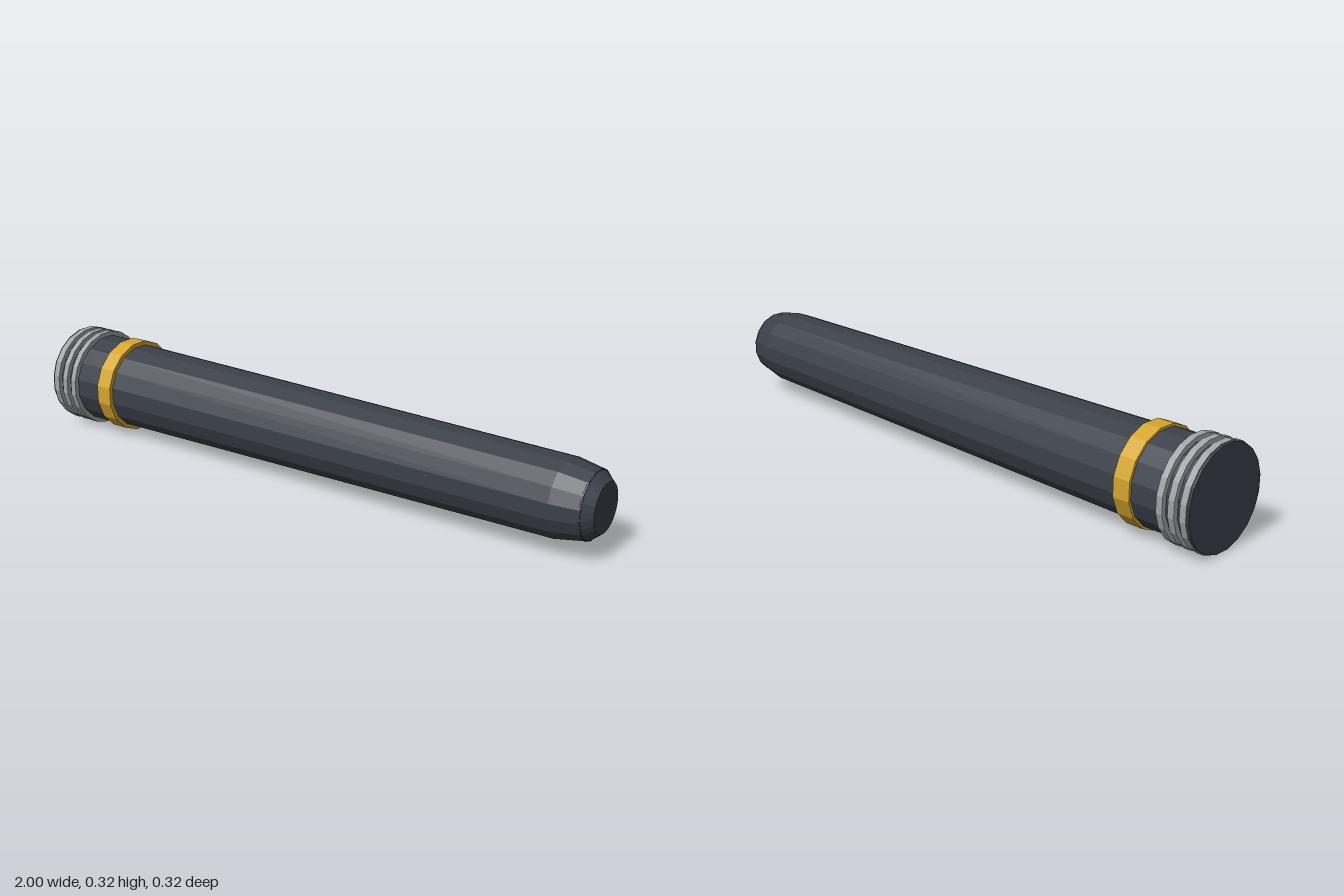
import * as THREE from 'three';

const mat = (name, color) => {
  const m = new THREE.MeshStandardMaterial({ color, flatShading: true });
  m.name = name;
  return m;
};

export function createModel() {
  const charcoal = mat('charcoal', 0x3b4049);
  const gold = mat('gold', 0xd4a62f);
  const silver = mat('silver', 0xa0a3a8);
  const group = new THREE.Group();
  group.name = 'taperedTube';

  // Faceted drum lying along x, with a flat facet on top
  const drum = (name, x0, x1, r0, r1, sides, material, open = false) => {
    const geo = new THREE.CylinderGeometry(r1, r0, x1 - x0, sides, 1, open, Math.PI / sides);
    geo.rotateZ(-Math.PI / 2);
    const mesh = new THREE.Mesh(geo, material);
    mesh.name = name;
    mesh.position.set((x0 + x1) / 2, 0.161, 0);
    group.add(mesh);
  };

  // Main tube, narrowing towards +x
  drum('tube', -0.77, 0.88, 0.142, 0.122, 16, charcoal, true);
  drum('shoulder', 0.88, 0.97, 0.122, 0.105, 16, charcoal);
  drum('tip', 0.965, 1, 0.106, 0.077, 24, charcoal);

  // Thick end: collar, gold band, end plate and ribs
  drum('collar', -0.99, -0.76, 0.148, 0.148, 16, charcoal);
  drum('goldBand', -0.795, -0.738, 0.156, 0.156, 16, gold);
  drum('endPlate', -1, -0.99, 0.16, 0.16, 20, charcoal);
  for (let i = 0; i < 3; i++) {
    const x = -0.992 + i * 0.039;
    drum('rib' + (i + 1), x, x + 0.021, 0.163, 0.163, 20, silver);
  }
  return group;
}
